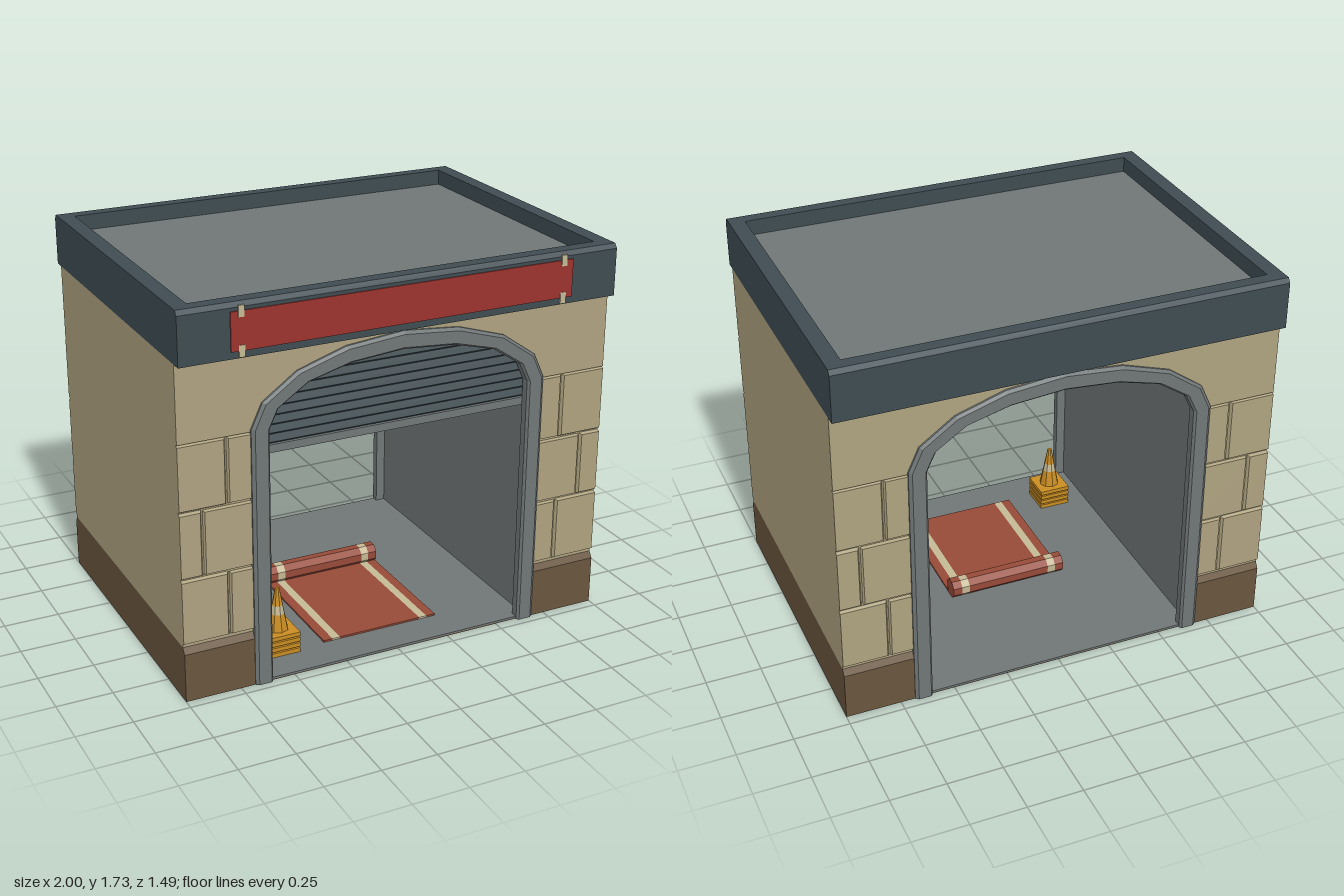
import * as THREE from 'three';

const mat = (name, color, side = THREE.FrontSide) => {
  const m = new THREE.MeshStandardMaterial({ color, side });
  m.name = name;
  m.flatShading = true;
  return m;
};

// Half outlines of the arch, inner and outer edge, from ground to crown
const INNER = [[0.605, 0], [0.605, 1.16], [0.565, 1.245], [0.43, 1.335], [0.24, 1.385], [0, 1.405]];
const OUTER = [[0.685, 0], [0.685, 1.17], [0.635, 1.28], [0.48, 1.39], [0.26, 1.46], [0, 1.485]];

// Full arch at fraction t between inner and outer edge, from +x foot to -x foot
function arch(t) {
  const half = INNER.map(([x, y], i) => [x + (OUTER[i][0] - x) * t, y + (OUTER[i][1] - y) * t]);
  return [...half, ...half.slice(0, -1).reverse().map(([x, y]) => [-x, y])];
}

// Half width of the arch at height y
function halfWidth(t, y) {
  const p = arch(t);
  for (let i = 0; i < 5; i++) {
    const [x0, y0] = p[i], [x1, y1] = p[i + 1];
    if (y <= y1) return x0 + (x1 - x0) * (y - y0) / (y1 - y0);
  }
  return 0.05;
}

// Sweep a convex section of [t, z] points along the arch
function sweepArch(section) {
  const rings = section.map(([t, z]) => arch(t).map(([x, y]) => [x, y, z]));
  const n = rings.length, last = rings[0].length - 1, pos = [];
  const tri = (...corners) => corners.forEach((c) => pos.push(...c));
  for (let i = 0; i < last; i++) {
    for (let j = 0; j < n; j++) {
      const a = rings[j], b = rings[(j + 1) % n];
      tri(a[i], b[i], b[i + 1]);
      tri(a[i], b[i + 1], a[i + 1]);
    }
  }
  for (let j = 1; j < n - 1; j++) {
    tri(rings[0][0], rings[j + 1][0], rings[j][0]);
    tri(rings[0][last], rings[j][last], rings[j + 1][last]);
  }
  const g = new THREE.BufferGeometry();
  g.setAttribute('position', new THREE.Float32BufferAttribute(pos, 3));
  g.computeVertexNormals();
  return g;
}

// Wall with the arch cut out, from y0 up to the roof
function archWall(y0, z0, z1) {
  const hole = arch(0.65).reverse().map(([x, y]) => [x, Math.max(y, y0)]);
  const pts = [[1, y0], [1, 1.5], [-1, 1.5], [-1, y0], ...hole];
  const shape = new THREE.Shape(pts.map(([x, y]) => new THREE.Vector2(x, y)));
  return new THREE.ExtrudeGeometry(shape, { depth: z1 - z0, bevelEnabled: false }).translate(0, 0, z0);
}

// Profile of [z, y] points extruded along x
function prism(points, x0, x1) {
  const shape = new THREE.Shape(points.map(([z, y]) => new THREE.Vector2(-z, y)));
  return new THREE.ExtrudeGeometry(shape, { depth: x1 - x0, bevelEnabled: false })
    .rotateY(Math.PI / 2).translate(x0, 0, 0);
}

// Box given by its limits
const box = (x0, x1, y0, y1, z0, z1) => new THREE.BoxGeometry(x1 - x0, y1 - y0, z1 - z0)
  .translate((x0 + x1) / 2, (y0 + y1) / 2, (z0 + z1) / 2);

// Stone block whose front edges are bevelled, except at the building corner
function block(x0, x1, y0, y1, z0, z1) {
  const g = box(x0, x1, y0, y1, z0, z1), p = g.attributes.position, b = 0.008;
  for (let i = 0; i < p.count; i++) {
    if (p.getZ(i) < (z0 + z1) / 2) continue;
    const x = p.getX(i), y = p.getY(i);
    if (x < 0.99) p.setX(i, x + (x < (x0 + x1) / 2 ? b : -b));
    p.setY(i, y + (y < (y0 + y1) / 2 ? b : -b));
  }
  g.computeVertexNormals();
  return g;
}

export function createModel() {
  const stone = mat('sandstone', 0xaea27f);
  const brown = mat('brown plinth', 0x69553d);
  const slate = mat('slate', 0x3f4c52);
  const grey = mat('grey', 0x707676);
  const red = mat('sign red', 0x9c332e);
  const rugRed = mat('rug red', 0x964a38);
  const orange = mat('orange', 0xc98d22);
  const cream = mat('cream', 0xc4b994);

  const model = new THREE.Group();
  model.name = 'garage';
  const add = (name, geometry, material, parent = model) => {
    const m = new THREE.Mesh(geometry, material);
    m.name = name;
    parent.add(m);
    return m;
  };

  // Walls, plinth, tunnel lining and floor
  add('walls', archWall(0.25, -0.685, 0.685), stone);
  const plinth = [[-0.703, 0], [0.703, 0], [0.703, 0.222], [0.685, 0.25], [-0.685, 0.25], [-0.703, 0.222]];
  add('plinthLeft', prism(plinth, 0.66, 1), brown);
  add('plinthRight', prism(plinth, -1, -0.66), brown);
  add('underside', box(-0.66, 0.66, 0, 0.004, -0.7, 0.7), brown);
  add('tunnelLining', sweepArch([[0.55, -0.68], [0.55, 0.68], [0.85, 0.68], [0.85, -0.68]]), grey);
  add('floor', box(-0.66, 0.66, 0.004, 0.012, -0.7, 0.7), grey);

  // Front and back facades: upper wall, door frame and stone blocks
  for (const [name, turn] of [['frontFacade', 0], ['backFacade', Math.PI]]) {
    const facade = new THREE.Group();
    facade.name = name;
    facade.rotation.y = turn;
    model.add(facade);
    add('upperWall', archWall(1.16, 0.685, 0.696), stone, facade);
    add('doorFrame', sweepArch([[0, 0.67], [0, 0.705], [0.12, 0.716], [0.83, 0.716], [1, 0.705], [1, 0.67]]), grey, facade);
    for (const side of [1, -1]) {
      const blocks = new THREE.Group();
      blocks.name = side > 0 ? 'blocksLeft' : 'blocksRight';
      blocks.scale.x = side;
      facade.add(blocks);
      [0.79, 0.9, 0.79].forEach((joint, row) => {
        const y = 0.262 + row * 0.3;
        add('block', block(0.66, joint - 0.002, y, y + 0.296, 0.68, 0.698), stone, blocks);
        add('block', block(joint + 0.002, 1, y, y + 0.296, 0.685, 0.698), stone, blocks);
      });
    }
  }

  // Flat roof with raised parapet
  const rim = [[0.67, 1.5], [0.742, 1.5], [0.742, 1.71], [0.728, 1.73], [0.67, 1.73]];
  add('parapetFront', prism(rim, -1, 1), slate);
  add('parapetBack', prism(rim.map(([z, y]) => [-z, y]), -1, 1), slate);
  add('parapetLeft', box(0.93, 1, 1.5, 1.73, -0.67, 0.67), slate);
  add('parapetRight', box(-1, -0.93, 1.5, 1.73, -0.67, 0.67), slate);
  add('roofDeck', box(-0.93, 0.93, 1.5, 1.66, -0.67, 0.67), grey);

  // Sign board with four clips
  add('signBoard', box(-0.78, 0.78, 1.53, 1.695, 0.74, 0.747), red);
  for (const x of [-0.735, 0.735]) {
    add('signClipTop', box(x - 0.013, x + 0.013, 1.67, 1.718, 0.742, 0.75), cream);
    add('signClipBottom', box(x - 0.013, x + 0.013, 1.505, 1.555, 0.742, 0.75), cream);
  }

  // Half-open roller shutter
  add('shutterBar', box(-0.65, 0.65, 1.04, 1.075, 0.635, 0.67), grey);
  for (let i = 0; i < 9; i++) {
    const y = 1.075 + i * 0.04, w = halfWidth(0.6, y);
    add('shutterSlat', prism([[0.637, y], [0.655, y], [0.667, y + 0.01], [0.655, y + 0.04], [0.637, y + 0.04]], -w, w), slate);
  }

  // Stack of traffic cones
  const cone = new THREE.Group();
  cone.name = 'coneStack';
  cone.position.set(-0.48, 0.012, 0.48);
  model.add(cone);
  for (let i = 0; i < 4; i++) {
    const y = i * 0.026;
    add('conePlate', box(-0.075, 0.075, y, y + 0.019, -0.075, 0.075), orange, cone);
  }
  add('coneCore', box(-0.06, 0.06, 0, 0.09, -0.06, 0.06), orange, cone);
  const radius = (y) => 0.048 - (y - 0.095) * 0.19;
  for (const [y0, y1, m] of [[0.095, 0.175, orange], [0.175, 0.215, cream], [0.215, 0.295, orange]]) {
    const g = new THREE.CylinderGeometry(radius(y1), radius(y0), y1 - y0, 8).translate(0, (y0 + y1) / 2, 0);
    add('coneBody', g, m, cone);
  }

  // Partly unrolled rug, split into stripes across its width
  const edges = [-0.28, -0.237, -0.2, 0.2, 0.237, 0.28];
  for (let i = 0; i < 5; i++) {
    const m = i % 2 ? cream : rugRed, x0 = edges[i], x1 = edges[i + 1];
    add('rugFlat', box(x0, x1, 0.012, 0.02, -0.09, 0.53), m);
    const roll = new THREE.CylinderGeometry(0.047, 0.047, x1 - x0, 8)
      .rotateY(Math.PI / 8).rotateZ(Math.PI / 2).translate((x0 + x1) / 2, 0.055, -0.09);
    add('rugRoll', roll, m);
  }

  return model;
}
